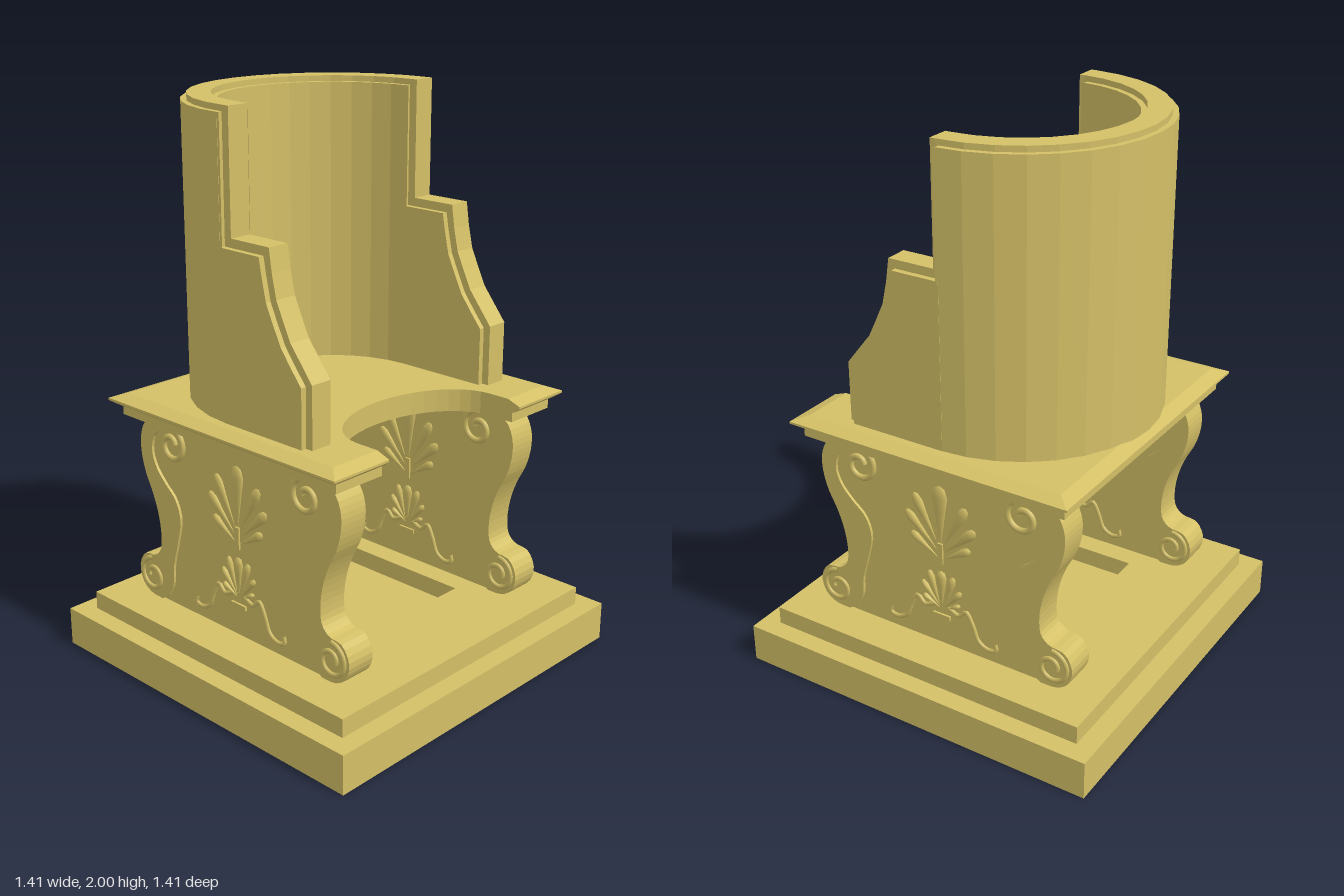
import * as THREE from 'three';

const stone = new THREE.MeshStandardMaterial({ color: 0xd4c067 });
stone.name = 'ochre stone';

function add(parent, name, geometry, x = 0, y = 0, z = 0) {
  const mesh = new THREE.Mesh(geometry, stone);
  mesh.name = name;
  mesh.position.set(x, y, z);
  parent.add(mesh);
  return mesh;
}

const shapeOf = pts => new THREE.Shape(pts.map(p => new THREE.Vector2(p[0], p[1])));

// Plan shape (x, -z) raised upwards
function raise(shape, height) {
  return new THREE.ExtrudeGeometry(shape, { depth: height, bevelEnabled: false }).rotateX(-Math.PI / 2);
}

// Side profile (z, y) thickened evenly in x
function slab(pts, thick) {
  return new THREE.ExtrudeGeometry(shapeOf(pts), { depth: thick, bevelEnabled: false })
    .translate(0, 0, -thick / 2).rotateY(-Math.PI / 2);
}

// Smooth run of points through a few knots
const smooth = (pts, n) => new THREE.CatmullRomCurve3(pts.map(p => new THREE.Vector3(p[0], p[1], 0)))
  .getPoints(n).map(v => [v.x, v.y]);

// Flat-faced solid from matching horizontal loops of [x, z]
function loft(loops, heights) {
  const pos = [];
  const put = (l, i) => pos.push(loops[l][i][0], heights[l], loops[l][i][1]);
  const n = loops[0].length, top = loops.length - 1;
  for (let l = 0; l < top; l++) {
    for (let i = 0; i < n; i++) {
      const j = (i + 1) % n;
      put(l, i); put(l, j); put(l + 1, j);
      put(l, i); put(l + 1, j); put(l + 1, i);
    }
  }
  for (const l of [0, top]) {
    const flat = loops[l].map(p => new THREE.Vector2(p[0], -p[1]));
    for (const [a, b, c] of THREE.ShapeUtils.triangulateShape(flat, [])) {
      put(l, a); put(l, l ? b : c); put(l, l ? c : b);
    }
  }
  const g = new THREE.BufferGeometry();
  g.setAttribute('position', new THREE.Float32BufferAttribute(pos, 3));
  g.computeVertexNormals();
  return g;
}

// Seat outline with the rounded notch at the front
function seatLoop(hx, hz) {
  const pts = [[hx, hz], [hx, -hz], [-hx, -hz], [-hx, hz], [-0.33, hz]];
  for (let i = 0; i <= 20; i++) {
    const a = Math.PI * (1 - i / 20);
    pts.push([0.33 * Math.cos(a), 0.41 - 0.22 * Math.sin(a)]);
  }
  pts.push([0.33, hz]);
  return pts;
}

// Horseshoe plan of the backrest, open towards the front
function horseshoe(outer, inner, zEnd) {
  const pts = [[outer, -zEnd]], n = 16;
  for (let i = 0; i <= n; i++) {
    const a = Math.PI * i / n;
    pts.push([outer * Math.cos(a), 0.02 + outer * Math.sin(a)]);
  }
  pts.push([-outer, -zEnd], [-inner, -zEnd]);
  for (let i = n; i >= 0; i--) {
    const a = Math.PI * i / n;
    pts.push([inner * Math.cos(a), 0.02 + inner * Math.sin(a)]);
  }
  pts.push([inner, -zEnd]);
  return shapeOf(pts);
}

const tube = (pts, r, n) => new THREE.TubeGeometry(
  new THREE.CatmullRomCurve3(pts.map(p => new THREE.Vector3(0, p[1], p[0]))), n, r, 6);

function spiral(cz, cy, r0, r1, start, sweep) {
  const pts = [];
  for (let i = 0; i <= 20; i++) {
    const t = i / 20, a = start + sweep * t, r = r0 + (r1 - r0) * t;
    pts.push([cz + r * Math.cos(a), cy + r * Math.sin(a)]);
  }
  return pts;
}

// Teardrop petal, one unit long, leaning towards the tip
const petalGeometry = new THREE.LatheGeometry(
  [[0, 0], [0.04, 0.25], [0.09, 0.6], [0.125, 0.82], [0.08, 0.96], [0, 1]].map(p => new THREE.Vector2(...p)), 10);

function petal(parent, z0, y0, z1, y1, fat) {
  const length = Math.hypot(z1 - z0, y1 - y0);
  const m = add(parent, 'petal', petalGeometry, 0, y0, z0);
  m.scale.set(0.1, length, length * fat);
  m.rotation.x = Math.atan2(z1 - z0, y1 - y0);
}

// Carved flower and tendrils for one face of a leg panel
function ornament() {
  const g = new THREE.Group();
  g.name = 'palmetteCarving';
  petal(g, 0, 0.6, 0, 0.83, 1.1);
  petal(g, 0, 0.36, 0, 0.5, 1.2);
  add(g, 'carvedBar', new THREE.BoxGeometry(0.016, 0.016, 0.07), 0, 0.32, 0);
  add(g, 'stem', new THREE.BoxGeometry(0.014, 0.08, 0.02), 0, 0.57, 0);
  for (const s of [1, -1]) {
    for (const [z0, y0, z1, y1, fat] of [
      [0.015, 0.61, 0.105, 0.775, 0.9], [0.015, 0.58, 0.14, 0.7, 0.9], [0.01, 0.55, 0.12, 0.62, 1],
      [0.01, 0.36, 0.05, 0.49, 0.9], [0.01, 0.355, 0.08, 0.44, 0.9], [0.01, 0.35, 0.075, 0.385, 1]
    ]) petal(g, s * z0, y0, s * z1, y1, fat);
    const vine = [[0.03, 0.36], [0.07, 0.345], [0.1, 0.37], [0.125, 0.33], [0.15, 0.27],
      [0.19, 0.25], [0.22, 0.26], [0.215, 0.285]];
    add(g, 'tendril', tube(vine.map(p => [s * p[0], p[1]]), 0.009, 28));
  }
  return g;
}

// One scrolled leg panel, centred on x = 0
function legPanel() {
  const g = new THREE.Group();
  g.name = 'legPanel';
  const edge = smooth([[0.33, 0.897], [0.41, 0.893], [0.46, 0.865], [0.483, 0.81], [0.483, 0.75], [0.465, 0.68],
    [0.43, 0.61], [0.405, 0.54], [0.393, 0.46], [0.4, 0.4], [0.43, 0.37], [0.49, 0.357], [0.52, 0.3],
    [0.503, 0.24], [0.46, 0.212], [0.4, 0.208]], 44);
  const inner = smooth([[0.36, 0.235], [0.335, 0.29], [0.33, 0.36], [0.305, 0.45], [0.285, 0.55], [0.31, 0.62],
    [0.36, 0.665], [0.405, 0.715], [0.425, 0.77], [0.41, 0.83], [0.37, 0.86], [0.33, 0.87]], 32);
  const flip = pts => pts.map(p => [-p[0], p[1]]);
  const core = [...edge, ...flip(edge).reverse()];
  add(g, 'panelSlab', slab(core, 0.09));
  const band = [...edge, ...inner];
  const upper = spiral(0.325, 0.815, 0.068, 0.02, Math.PI / 2, Math.PI * 2.4);
  const lower = spiral(0.443, 0.288, 0.066, 0.02, Math.PI / 2, -Math.PI * 2.6);
  for (const s of [1, -1]) {
    add(g, 'scrollBand', slab(s > 0 ? band : flip(band), 0.11));
    for (const side of [1, -1]) {
      add(g, 'upperVolute', tube(s > 0 ? upper : flip(upper), 0.012, 40), side * 0.046);
      add(g, 'lowerVolute', tube(s > 0 ? lower : flip(lower), 0.01, 40), side * 0.054);
    }
  }
  for (const side of [1, -1]) {
    const o = ornament();
    o.position.x = side * 0.045;
    g.add(o);
  }
  return g;
}

export function createModel() {
  const model = new THREE.Group();
  model.name = 'stoneThrone';
  const body = new THREE.Group();
  body.name = 'throneBody';
  body.rotation.y = -0.0255;
  model.add(body);

  // Stepped base with a square recess
  add(body, 'basePlinth', new THREE.BoxGeometry(1.372, 0.14, 1.372), 0, 0.07, 0);
  const square = h => [[-h, -h], [h, -h], [h, h], [-h, h]];
  const step = shapeOf(square(0.617));
  step.holes.push(shapeOf(square(0.305)));
  add(body, 'baseStep', raise(step, 0.066), 0, 0.14, 0);

  // Legs
  for (const s of [1, -1]) {
    const leg = legPanel();
    leg.position.x = s * 0.43;
    body.add(leg);
  }

  // Seat with moulded rim
  const seat = [[0.535, 0.51, 0.897], [0.535, 0.51, 0.932], [0.55, 0.52, 0.935], [0.573, 0.54, 0.951],
    [0.573, 0.54, 0.959], [0.525, 0.49, 0.977]];
  add(body, 'seat', loft(seat.map(s => seatLoop(s[0], s[1])), seat.map(s => s[2])));

  // Curved back: thin core rising above thicker faces
  add(body, 'backCore', raise(horseshoe(0.475, 0.395, 0), 1.03), 0, 0.97, 0);
  add(body, 'backFacing', raise(horseshoe(0.495, 0.375, -0.03), 1.01), 0, 0.97, 0);

  // Stepped arms with a concave front
  const armCore = [[0, 0.97], [0.352, 0.97], [0.352, 1.19], [0.3, 1.255], [0.26, 1.305], [0.228, 1.37],
    [0.2, 1.43], [0.182, 1.51], [0.17, 1.59], [0, 1.59]];
  const armFacing = [[-0.03, 0.97], [0.325, 0.97], [0.325, 1.18], [0.28, 1.235], [0.238, 1.29], [0.203, 1.36],
    [0.175, 1.42], [0.157, 1.5], [0.146, 1.56], [-0.03, 1.56]];
  for (const s of [1, -1]) {
    add(body, 'armCore', slab(armCore, 0.08), s * 0.435);
    add(body, 'armFacing', slab(armFacing, 0.12), s * 0.435);
  }
  return model;
}
